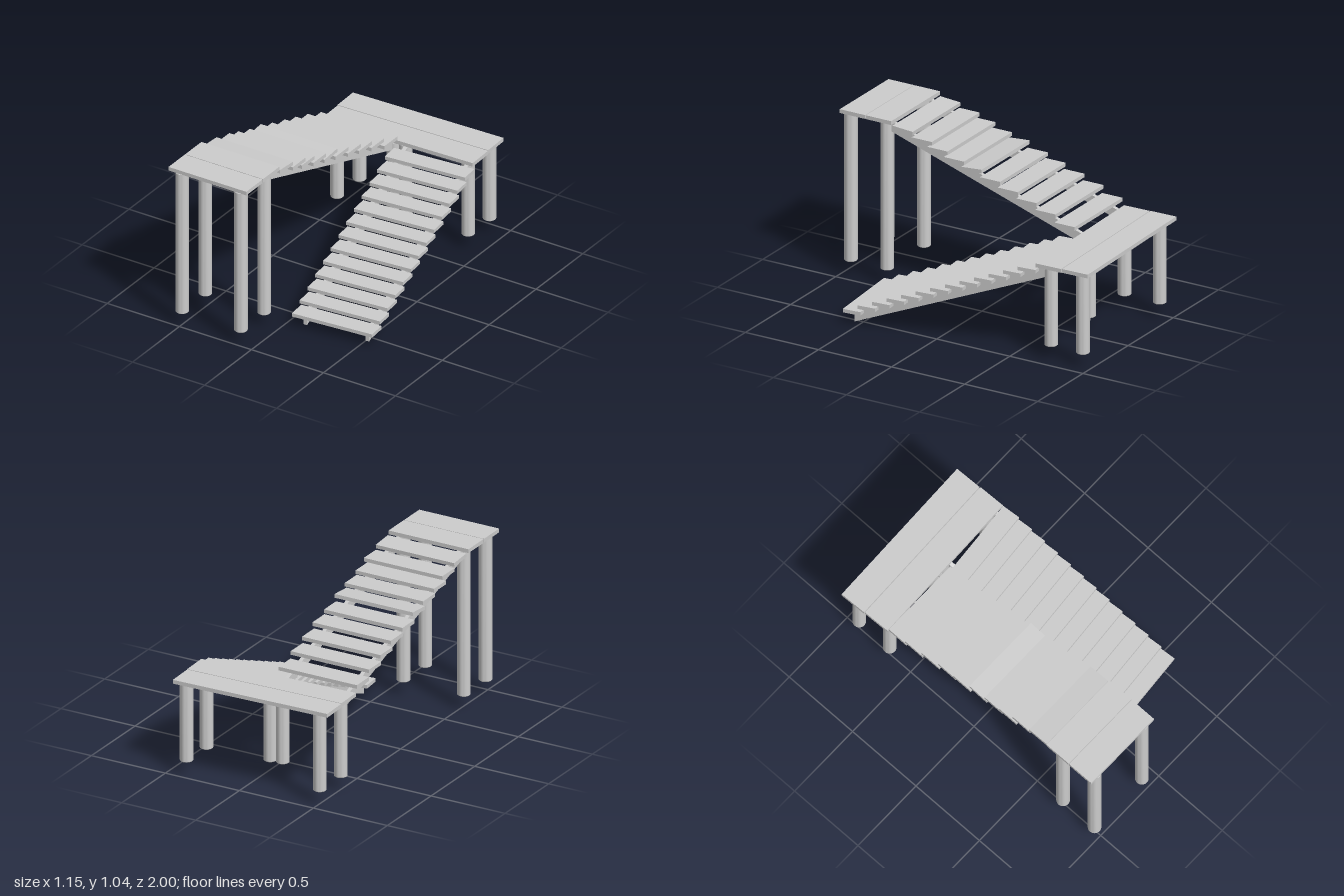
import * as THREE from 'three';
import { toCreasedNormals } from 'three/addons/utils/BufferGeometryUtils.js';

const material = new THREE.MeshStandardMaterial({ color: 0xcccccc });

function add(parent, name, geometry, x = 0, y = 0, z = 0) {
  const mesh = new THREE.Mesh(geometry, material);
  mesh.name = name;
  mesh.position.set(x, y, z);
  parent.add(mesh);
  return mesh;
}

function addGroup(parent, name) {
  const group = new THREE.Group();
  group.name = name;
  parent.add(group);
  return group;
}

// Round post with slightly bevelled ends
function addPost(parent, x, z, bottom, top) {
  const r = 0.04, b = 0.005;
  const profile = [[0, bottom], [r - b, bottom], [r, bottom + b], [r, top - b], [r - b, top], [0, top]];
  const lathe = new THREE.LatheGeometry(profile.map(([px, py]) => new THREE.Vector2(px, py)), 24);
  add(parent, 'post', toCreasedNormals(lathe, 0.6), x, 0, z);
}

// Pair of sloping side boards; the outline is given as [z, y] points
function addStringers(parent, outline, centreX) {
  const thickness = 0.024;
  const shape = new THREE.Shape(outline.map(([z, y]) => new THREE.Vector2(-z, y)));
  const geometry = new THREE.ExtrudeGeometry(shape, { depth: thickness, bevelEnabled: false });
  geometry.translate(0, 0, -thickness / 2);
  geometry.rotateY(Math.PI / 2);
  for (const side of [-1, 1]) add(parent, 'stringer', geometry, centreX + side * 0.205);
}

export function createModel() {
  const model = new THREE.Group();
  model.name = 'woodenStairs';

  // Top landing: two planks on four posts
  const upperLanding = addGroup(model, 'upperLanding');
  for (const z of [0.731, 0.909]) {
    add(upperLanding, 'landingPlank', new THREE.BoxGeometry(0.54, 0.024, 0.174), -0.308, 1.03, z);
  }
  for (const x of [-0.508, -0.1]) {
    for (const z of [0.71, 0.958]) addPost(upperLanding, x, z, 0.08, 1.018);
  }

  // Middle landing: two slightly skewed planks on six posts
  const lowerLanding = addGroup(model, 'lowerLanding');
  for (const [x, z] of [[-0.062, -0.901], [-0.054, -0.724]]) {
    const plank = add(lowerLanding, 'landingPlank', new THREE.BoxGeometry(1.027, 0.024, 0.172), x, 0.592, z);
    plank.rotation.y = 0.028;
  }
  const lowerPosts = [[-0.492, -0.672], [-0.492, -0.912], [-0.1, -0.672],
    [-0.022, -0.682], [0.39, -0.715], [0.395, -0.935]];
  for (const [x, z] of lowerPosts) addPost(lowerLanding, x, z, 0.08, 0.58);

  // Upper flight, with a few treads sitting a little crooked
  const upperFlight = addGroup(model, 'upperFlight');
  const upperTreads = [
    [0.567, 1.0, -0.07], [0.434, 0.961, 0], [0.33, 0.922, 0], [0.214, 0.885, 0], [0.094, 0.854, 0.08],
    [-0.03, 0.809, 0], [-0.155, 0.773, 0], [-0.28, 0.73, 0], [-0.41, 0.687, 0], [-0.543, 0.637, 0],
  ];
  upperTreads.forEach(([z, y, tilt], i) => {
    const x = -0.303 + 0.003 * Math.sin(i * 2.3);
    const tread = add(upperFlight, 'tread', new THREE.BoxGeometry(0.53, 0.023, 0.138), x, y, z);
    tread.rotation.x = tilt;
  });
  addStringers(upperFlight, [[0.67, 0.955], [0.67, 1.018], [-0.64, 0.59], [-0.64, 0.53]], -0.303);

  // Lower flight, turned slightly away from the upper one
  const lowerFlight = addGroup(model, 'lowerFlight');
  lowerFlight.position.set(0.259, 0, -0.008);
  lowerFlight.rotation.y = 0.083;
  const count = 13;
  for (let i = 0; i < count; i++) {
    const t = i / (count - 1);
    add(lowerFlight, 'tread', new THREE.BoxGeometry(0.53, 0.022, 0.115),
      0, 0.076 + 0.479 * t, 0.571 - 1.142 * t);
  }
  addStringers(lowerFlight, [[0.575, 0], [0.575, 0.066], [-0.66, 0.575], [-0.66, 0.508]], 0);

  return model;
}
